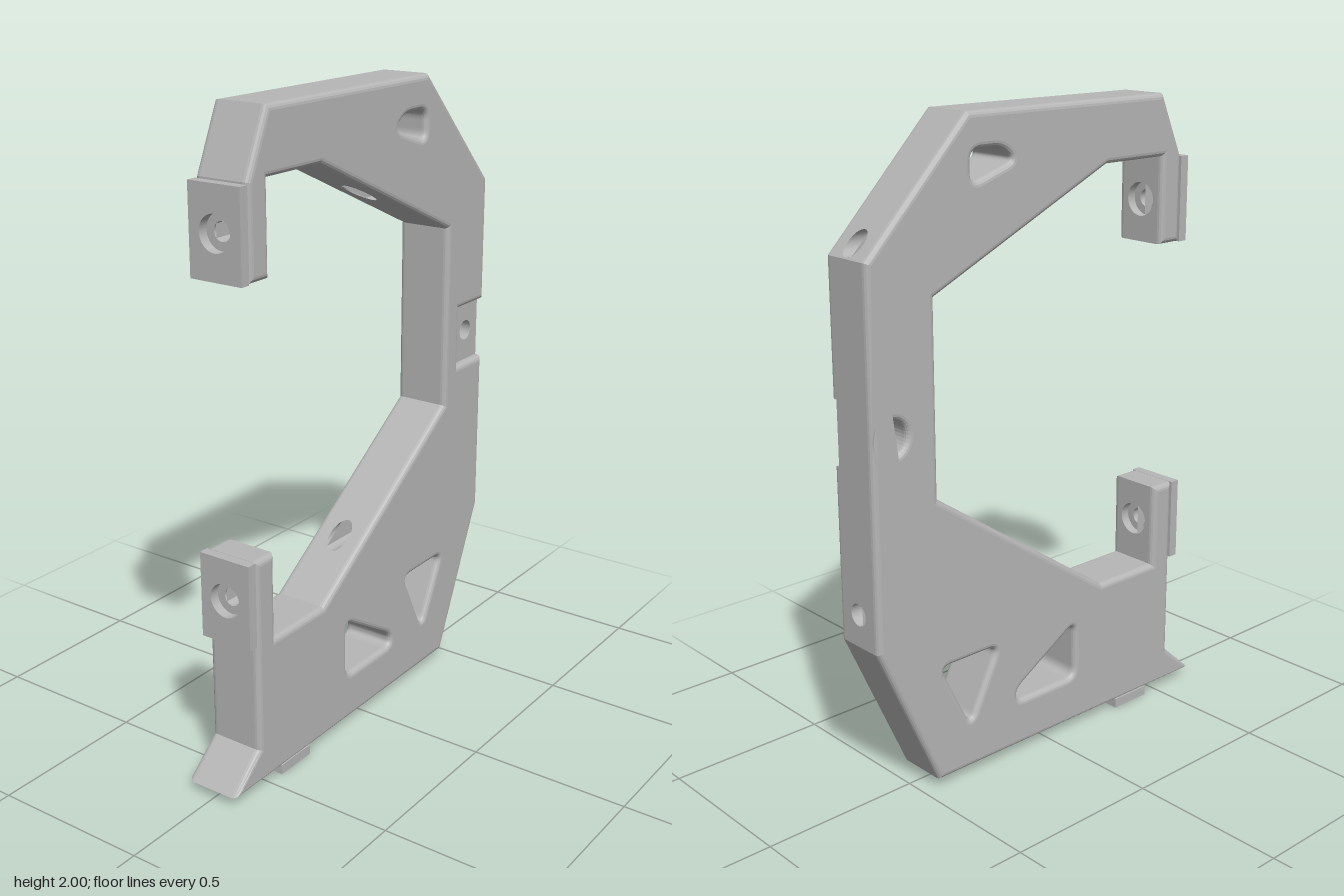
import * as THREE from 'three';

const HALF = 0.09, BEVEL = 0.018;           // half thickness (x) and edge rounding
const LOW = 0.61, HIGH = 1.672;             // heights of the two bolt axes

// Side profile as [u, y], where u = -z
const profile = (notch) => [
  [-0.665, 0.03], [0.45, 0.03], [0.665, 0.51], [0.665, 0.9],
  ...(notch ? [[0.665, 1.04], [0.515, 1.04], [0.515, 1.235], [0.665, 1.235]] : []),
  [0.665, 1.635], [0.31, 2], [-0.465, 2], [-0.55, 1.81], [-0.55, 1.54],
  [-0.465, 1.54], [-0.465, 1.81], [-0.23, 1.81], [0.435, 1.51], [0.435, 0.925],
  [-0.23, 0.47], [-0.465, 0.47], [-0.465, 0.74], [-0.55, 0.74], [-0.55, 0.475], [-0.55, 0.135],
];

// Profile edges that are pierced by a bolt axis: two ends, hole height, hole radius
const drilled = {
  lowerPadFront: [[-0.55, 0.475], [-0.55, 0.74], LOW, 0.028],
  lowerPadBack: [[-0.465, 0.47], [-0.465, 0.74], LOW, 0.053],
  lowerInnerSlope: [[-0.23, 0.47], [0.435, 0.925], LOW, 0.034],
  lowerBack: [[0.665, 0.51], [0.665, 0.9], LOW, 0.034],
  upperPadFront: [[-0.55, 1.54], [-0.55, 1.81], HIGH, 0.028],
  upperPadBack: [[-0.465, 1.54], [-0.465, 1.81], HIGH, 0.053],
  upperInnerSlope: [[0.435, 1.51], [-0.23, 1.81], HIGH, 0.034],
  upperBackSlope: [[0.665, 1.635], [0.31, 2], HIGH, 0.034],
};

const windows = [
  [[-0.11, 0.37], [-0.11, 0.182], [0.135, 0.182], [0.135, 0.222]],
  [[0.215, 0.395], [0.435, 0.395], [0.325, 0.175]],
  [[0.138, 1.856], [0.185, 1.897], [0.298, 1.897], [0.298, 1.803]],
];

function roundedPath(pts, r) {
  const path = new THREE.Path();
  const v = pts.map((p) => new THREE.Vector2(...p));
  v.forEach((c, i) => {
    const toward = (o) => {
      const d = o.clone().sub(c);
      return c.clone().add(d.setLength(Math.min(r, d.length() * 0.45)));
    };
    const a = toward(v[(i + v.length - 1) % v.length]);
    const b = toward(v[(i + 1) % v.length]);
    if (i === 0) path.moveTo(a.x, a.y); else path.lineTo(a.x, a.y);
    path.quadraticCurveTo(c.x, c.y, b.x, b.y);
  });
  path.closePath();
  return path;
}

function circle(x, y, r) {
  const path = new THREE.Path();
  path.absarc(x, y, r, 0, Math.PI * 2, true);
  return path;
}

function rect(x0, y0, x1, y1) {
  return new THREE.Shape([[x0, y0], [x1, y0], [x1, y1], [x0, y1]].map((p) => new THREE.Vector2(...p)));
}

// z of a profile edge at height y
const edgeZ = ([p, q], y) => -(p[0] + ((q[0] - p[0]) * (y - p[1])) / (q[1] - p[1]));

function onEdge([p, q], u, y) {
  const a = new THREE.Vector2(q[0] - p[0], q[1] - p[1]);
  const b = new THREE.Vector2(u - p[0], y - p[1]);
  const t = a.dot(b) / a.lengthSq();
  return t > -1e-3 && t < 1.001 && Math.abs(a.cross(b)) / a.length() < 1e-4;
}

// One slice of the frame between x0 and x1, leaving out the drilled walls
function slice(x0, x1, notch, boltRadius) {
  const shape = new THREE.Shape(profile(notch).map((p) => new THREE.Vector2(...p)));
  shape.holes.push(...windows.map((w) => roundedPath(w, 0.035)));
  if (boltRadius) shape.holes.push(circle(0.593, 1.14, boltRadius));
  const solid = new THREE.ExtrudeGeometry(shape, {
    depth: 2 * (HALF - BEVEL), bevelThickness: BEVEL, bevelSize: BEVEL,
    bevelOffset: -BEVEL, bevelSegments: 4, curveSegments: 16,
  });
  const p = solid.attributes.position;
  const kept = [];
  for (let i = 0; i < p.count; i += 3) {
    const tri = [i, i + 1, i + 2];
    if (Object.values(drilled).some((e) => tri.every((k) => onEdge(e, p.getX(k), p.getY(k))))) continue;
    for (const k of tri) {
      kept.push(THREE.MathUtils.clamp(p.getZ(k) - HALF + BEVEL, x0, x1), p.getY(k), -p.getX(k));
    }
  }
  const geo = new THREE.BufferGeometry();
  geo.setAttribute('position', new THREE.Float32BufferAttribute(kept, 3));
  geo.computeVertexNormals();
  return geo;
}

// Flat wall on a profile edge with a round hole along z
function wall(edge) {
  const [p, q, y, r] = edge;
  const shape = rect(-HALF + BEVEL, p[1], HALF - BEVEL, q[1]);
  shape.holes.push(circle(0, y, r));
  const geo = new THREE.ShapeGeometry(shape, 24);
  const pos = geo.attributes.position;
  for (let i = 0; i < pos.count; i++) pos.setZ(i, edgeZ(edge, pos.getY(i)));
  geo.computeVertexNormals();
  return geo;
}

// Bore between two walls, its ends cut to their slopes
function tunnel(front, back) {
  const [, , y, r] = back;
  const geo = new THREE.CylinderGeometry(r, r, 2, 32, 1, true).rotateX(Math.PI / 2).translate(0, y, 0);
  const pos = geo.attributes.position;
  for (let i = 0; i < pos.count; i++) {
    pos.setZ(i, edgeZ(pos.getZ(i) > 0 ? front : back, pos.getY(i)));
  }
  return geo;
}

export function createModel() {
  const model = new THREE.Group();
  const grey = new THREE.MeshStandardMaterial({ color: 0xb6b6b6, side: THREE.DoubleSide });
  grey.name = 'plain grey';
  const add = (name, geo) => {
    const mesh = new THREE.Mesh(geo, grey);
    mesh.name = name;
    model.add(mesh);
    return mesh;
  };

  // Frame in three slices: counterbored right, plain middle, notched left
  add('frameRight', slice(-HALF, -0.02, false, 0.053));
  add('frameMiddle', slice(-0.02, 0.065, false, 0.033));
  add('frameLeft', slice(0.065, HALF, true, 0));

  // Drilled walls and access bores
  for (const [name, edge] of Object.entries(drilled)) add(name + 'Wall', wall(edge));
  add('lowerAccessBore', tunnel(drilled.lowerInnerSlope, drilled.lowerBack));
  add('upperAccessBore', tunnel(drilled.upperInnerSlope, drilled.upperBackSlope));

  // Clamp pads: stepped bolt hole and front plate
  for (const [name, y, y0, y1] of [['lower', LOW, 0.475, 0.74], ['upper', HIGH, 1.54, 1.805]]) {
    const steps = [[0.053, 0.465], [0.053, 0.495], [0.028, 0.495], [0.028, 0.55]];
    for (let i = 0; i < 3; i++) {
      const pair = steps.slice(i, i + 2).map((s) => new THREE.Vector2(...s));
      add(name + 'PadBore', new THREE.LatheGeometry(pair, 32).rotateX(Math.PI / 2)).position.y = y;
    }
    const plate = rect(-0.088, y0, 0.088, y1);
    plate.holes.push(circle(0, y, 0.053));
    add(name + 'PadPlate', new THREE.ExtrudeGeometry(plate, { depth: 0.031, bevelEnabled: false, curveSegments: 24 }))
      .position.z = 0.551;
  }

  // Locating key under the foot, with a small screw hole
  const key = rect(-0.088, -0.445, 0.088, -0.305);
  key.holes.push(circle(0, -0.375, 0.012));
  add('footKey', new THREE.ExtrudeGeometry(key, { depth: 0.031, bevelEnabled: false }).rotateX(-Math.PI / 2));

  return model;
}
